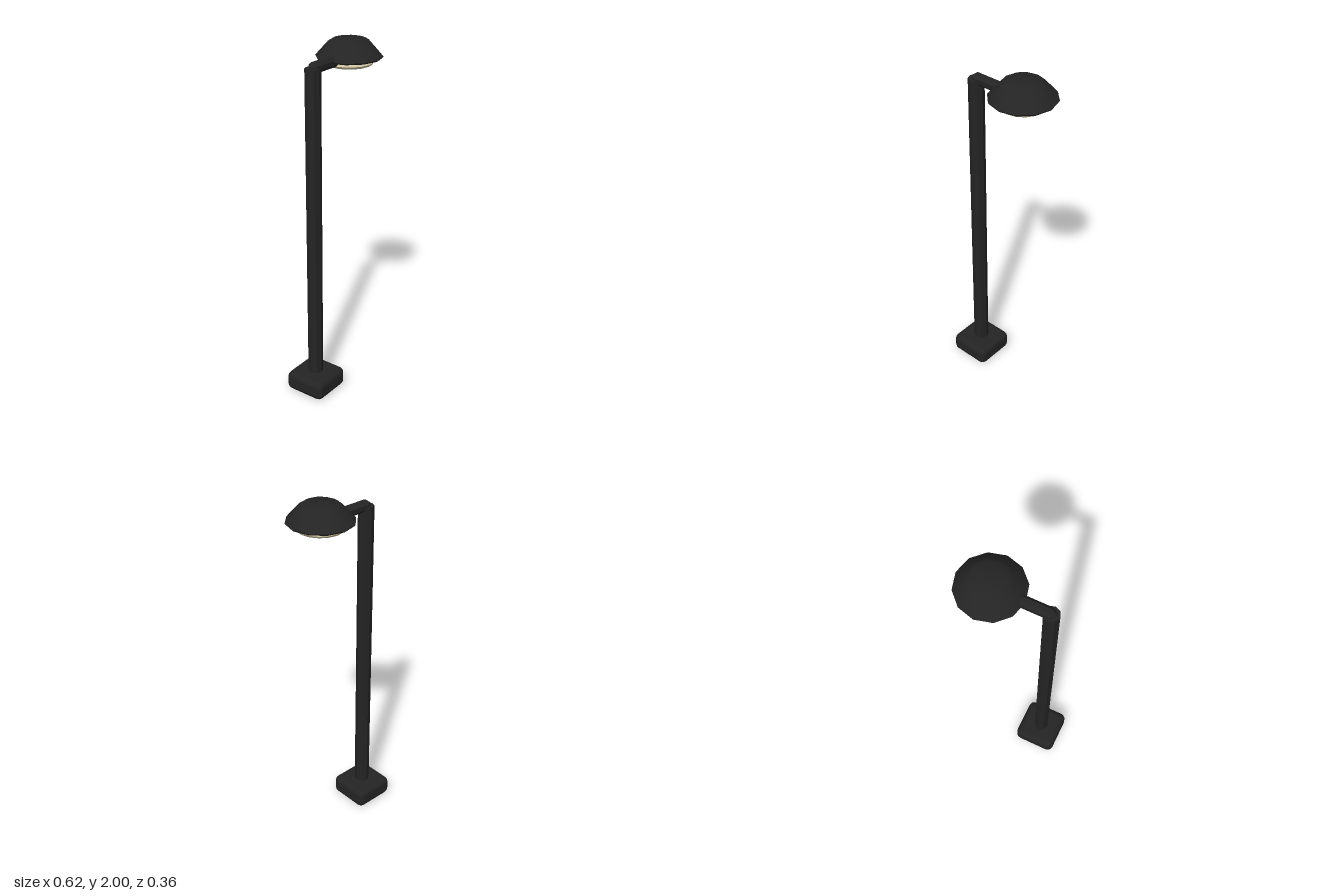
import * as THREE from 'three';
import { RoundedBoxGeometry } from 'three/addons/geometries/RoundedBoxGeometry.js';
import { toCreasedNormals } from 'three/addons/utils/BufferGeometryUtils.js';

const POLE_X = -0.185;
const HEAD_X = 0.128;

export function createModel() {
  const group = new THREE.Group();
  const darkMetal = new THREE.MeshStandardMaterial({ color: 0x242424 });
  darkMetal.name = 'darkMetal';
  const creamGlass = new THREE.MeshStandardMaterial({ color: 0xd0c6a4 });
  creamGlass.name = 'creamGlass';

  const add = (name, geometry, material, x, y) => {
    const mesh = new THREE.Mesh(geometry, material);
    mesh.name = name;
    mesh.position.set(x, y, 0);
    group.add(mesh);
    return mesh;
  };

  // Turned part from [radius, height] pairs, listed bottom to top
  const turned = (points, sides, crease, start = 0) => toCreasedNormals(
    new THREE.LatheGeometry(points.map(([r, h]) => new THREE.Vector2(r, h)), sides, start), crease);

  // Rounded foot block
  add('base', new RoundedBoxGeometry(0.25, 0.115, 0.25, 2, 0.036), darkMetal, POLE_X, 0.0575);

  // Eight-sided upright
  add('pole', toCreasedNormals(new THREE.CylinderGeometry(0.043, 0.043, 1.805, 8), 0.5),
    darkMetal, POLE_X, 1.0025);

  // Horizontal arm with bevelled ends and a flat facet on top
  const arm = add('arm', turned(
    [[0, 0], [0.011, 0], [0.031, 0.024], [0.031, 0.2], [0.011, 0.224], [0, 0.224]],
    8, 0.5, Math.PI / 8), darkMetal, -0.208, 1.905);
  arm.rotation.z = -Math.PI / 2;

  // Twelve-sided shade, closed underneath
  add('shade', turned(
    [[0, 1.905], [0.176, 1.9], [0.181, 1.908], [0.112, 1.985], [0.09, 1.998], [0, 2]],
    12, 0.9), darkMetal, HEAD_X, 0);

  // Shallow lamp disc below the shade
  add('lamp', turned(
    [[0, 1.861], [0.112, 1.861], [0.124, 1.866], [0.131, 1.877], [0.124, 1.889], [0.108, 1.902], [0, 1.902]],
    16, 0.9), creamGlass, HEAD_X, 0);

  return group;
}
